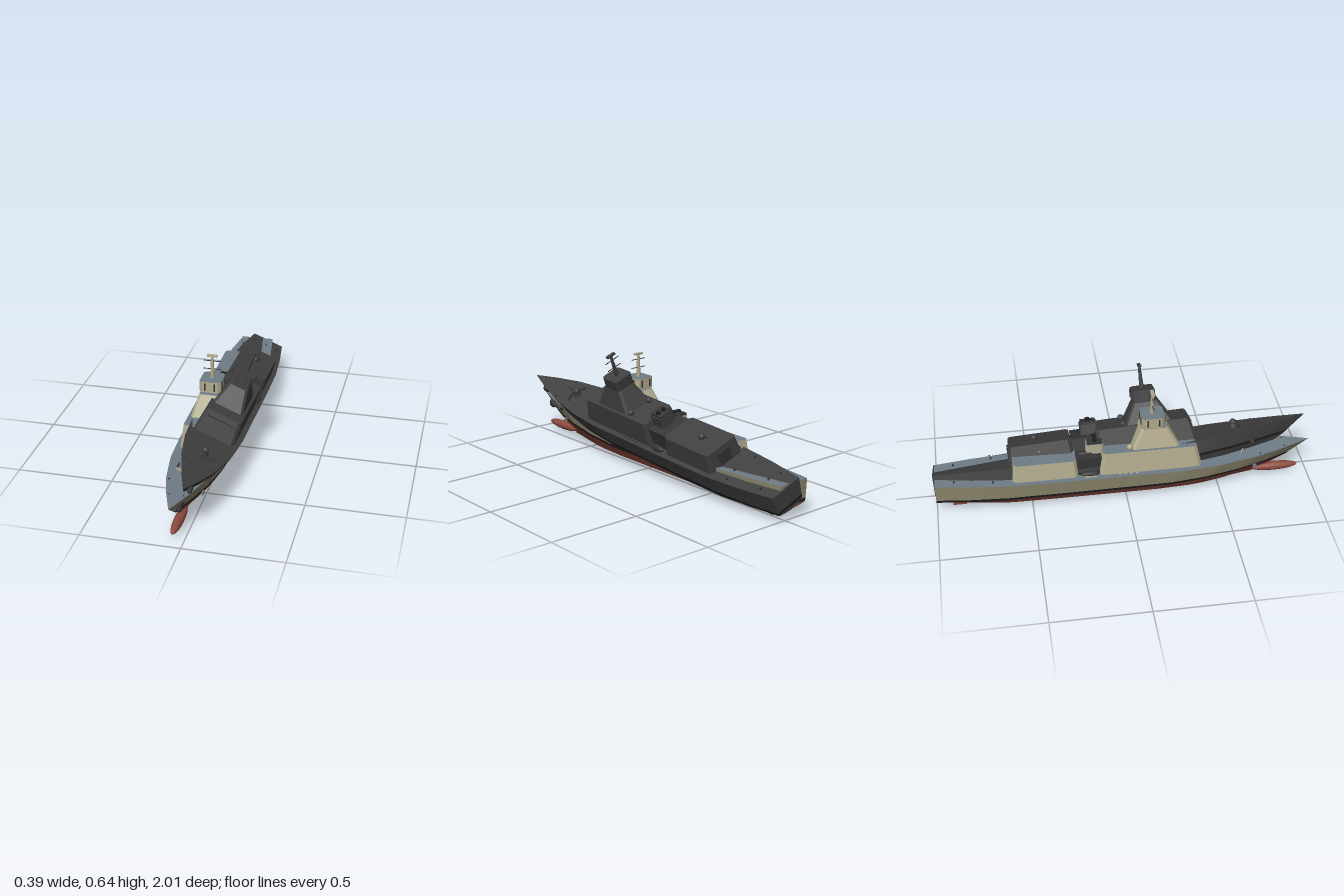
import * as THREE from 'three';

const paint = (name, color) => Object.assign(new THREE.MeshStandardMaterial({ color }), { name });

// Linear interpolation through [position, value] pairs
function sample(pairs, s) {
  for (let i = 1; i < pairs.length; i++) {
    const [a, u] = pairs[i - 1], [b, v] = pairs[i];
    if (s <= b) return u + (v - u) * (s - a) / (b - a);
  }
  return pairs[pairs.length - 1][1];
}

function add(parent, name, geometry, material, x = 0, y = 0, z = 0) {
  const m = new THREE.Mesh(geometry, material);
  m.name = name;
  m.position.set(x, y, z);
  parent.add(m);
  return m;
}
const box = (w, h, d) => new THREE.BoxGeometry(w, h, d);

// Surface between two rows of points
function strip(A, B) {
  const pos = [], idx = [], n = A.length;
  [...A, ...B].forEach(p => pos.push(...p));
  for (let i = 0; i < n - 1; i++) {
    idx.push(i + 1, i, n + i, i + 1, n + i, n + i + 1);
  }
  const g = new THREE.BufferGeometry();
  g.setAttribute('position', new THREE.Float32BufferAttribute(pos, 3));
  g.setIndex(idx);
  g.computeVertexNormals();
  return g;
}

// Tapered house with chamfered corners; group 0 = walls, group 1 = roof
// bottom / top: [half width, back z, front z, y]
function house(bottom, top, c) {
  const ring = ([w, b, f, y]) => [
    [w, y, f - c], [w, y, b + c], [w - c, y, b], [-w + c, y, b],
    [-w, y, b + c], [-w, y, f - c], [-w + c, y, f], [w - c, y, f]];
  const lo = ring(bottom), hi = ring(top), pos = [];
  for (let i = 0; i < 8; i++) {
    const j = (i + 1) % 8;
    pos.push(...lo[i], ...lo[j], ...hi[j], ...lo[i], ...hi[j], ...hi[i]);
  }
  for (let i = 1; i < 7; i++) pos.push(...hi[0], ...hi[i], ...hi[i + 1]);
  const g = new THREE.BufferGeometry();
  g.setAttribute('position', new THREE.Float32BufferAttribute(pos, 3));
  g.addGroup(0, 48, 0);
  g.addGroup(48, 18, 1);
  g.computeVertexNormals();
  return g;
}

// Hull lofted along the length, one band of plating per height level
function buildHull(ship, p) {
  const plan = [[-1, .65], [-.8, .85], [-.6, .97], [-.3, 1], [.3, 1], [.5, .92],
    [.7, .68], [.85, .38], [.95, .13], [1, 0]];
  const keel = [[-1, .045], [-.55, 0], [.8, 0], [1, .012]];
  const chine = [[-1, .055], [-.55, .03], [.6, .03], [1, .055]];
  const water = [[-1, .062], [-.5, .07], [.3, .075], [1, .11]];
  const sheer = [[-1, .175], [-.5, .17], [.3, .17], [.6, .182], [1, .2]];
  // half width, stem z, fullness exponent, height
  const levels = [
    [0, .68, 1, s => sample(keel, s)],
    [.045, .70, 1.2, s => sample(keel, s) + .003],
    [.10, .78, 1.1, s => sample(chine, s)],
    [.126, .88, 1, s => sample(water, s)],
    [.130, .90, 1, s => sample(water, s) + .016],
    [.140, 1, 1, s => sample(sheer, s)]];
  const stations = Array.from({ length: 41 }, (_, i) => -1 + i / 20);
  const row = ([w, end, e, y], side) => stations.map(s => [
    side * w * sample(plan, s) ** e, y(s), -1 + (s + 1) * (end + 1) / 2]);
  const L = levels.map(l => row(l, 1)), R = levels.map(l => row(l, -1));
  const skins = [p.bottom, p.bottom, p.bottom, p.stripe, p.hull];
  const names = ['keelPlating', 'bilgePlating', 'lowerPlating', 'waterlineStripe', 'topsides'];
  skins.forEach((m, j) => {
    add(ship, names[j] + 'Left', strip(L[j], L[j + 1]), m);
    add(ship, names[j] + 'Right', strip(R[j + 1], R[j]), m);
    add(ship, names[j] + 'Transom', strip([R[j][0], L[j][0]], [R[j + 1][0], L[j + 1][0]]), m);
  });
  add(ship, 'deck', strip(L[5], R[5]), p.deck);

  const bulb = add(ship, 'bowBulb', new THREE.SphereGeometry(1, 20, 14), p.bottom, 0, .034, .82);
  bulb.scale.set(.025, .024, .13);
  for (const s of [-1, 1]) {
    add(ship, 'rudder', box(.008, .055, .07), p.bottom, s * .045, .035, -.88);
    add(ship, 'hullVent', box(.008, .018, .02), p.fitting, s * .085, .116, .69);
  }
  const anchor = add(ship, 'anchor', new THREE.SphereGeometry(1, 12, 8), p.dark, .024, .148, .895);
  anchor.scale.set(.012, .018, .03);
}

function buildShip(name, p) {
  const ship = new THREE.Group();
  ship.name = name;
  buildHull(ship, p);
  const walls = [p.house, p.deck];

  // Superstructure
  add(ship, 'bridgeBlock', house([.112, -.145, .40, .165], [.097, -.125, .37, .295], .015), walls);
  add(ship, 'tower', house([.083, .03, .28, .295], [.052, .085, .22, .40], .012), walls);
  add(ship, 'sensorNeck', box(.03, .012, .04), p.house, 0, .403, .145);
  add(ship, 'sensorHouse', house([.056, .085, .205, .406], [.056, .085, .205, .465], .014), walls);
  add(ship, 'hangar', house([.112, -.60, -.255, .165], [.10, -.59, -.265, .27], .014), walls);
  add(ship, 'hangarDoor', box(.075, .07, .006), p.dark, 0, .212, -.597);
  add(ship, 'midBlock', box(.17, .10, .13), p.dark, 0, .215, -.195);
  add(ship, 'funnel', house([.048, -.215, -.105, .17], [.043, -.205, -.115, .32], .008), walls);
  add(ship, 'bridgeWindowBar', box(.148, .004, .006), p.dark, 0, .266, .378);

  // Funnel exhausts
  add(ship, 'funnelCap', box(.074, .012, .08), p.dark, 0, .325, -.16);
  for (const s of [-1, 1]) {
    add(ship, 'exhaust', new THREE.CylinderGeometry(.012, .012, .012, 12), p.stripe, s * .018, .335, -.16);
  }

  // Sensor panels around the mast house
  for (const s of [-1, 1]) {
    for (const z of [.09, .20]) {
      add(ship, 'sensorPanel', box(.006, .04, .008), p.dark, s * .025, .437, z < .14 ? .084 : .206);
      add(ship, 'sensorPanel', box(.006, .04, .008), p.dark, s * .056, .437, z < .14 ? .115 : .175);
    }
  }

  // Mast with yards
  add(ship, 'mast', new THREE.CylinderGeometry(.007, .012, .12, 8), p.house, 0, .525, .145);
  add(ship, 'mastHead', box(.052, .01, .018), p.house, 0, .587, .145);
  for (const y of [.513, .558]) add(ship, 'yard', box(.09, .003, .004), p.dark, 0, y, .145);

  // Foredeck gun and V-shaped breakwater
  add(ship, 'gunBase', new THREE.CylinderGeometry(.018, .022, .022, 12), p.house, 0, .193, .61);
  add(ship, 'gunHouse', new THREE.SphereGeometry(.018, 14, 10), p.house, 0, .21, .61);
  add(ship, 'gunBarrel', new THREE.CylinderGeometry(.003, .004, .06, 8), p.dark, 0, .212, .645).rotation.x = Math.PI / 2;
  for (const s of [-1, 1]) {
    add(ship, 'breakwater', box(.072, .014, .005), p.house, s * .034, .189, .632).rotation.y = s * .45;
  }

  // Small gun on the hangar roof
  add(ship, 'roofGun', new THREE.SphereGeometry(.018, 14, 10), p.house, 0, .278, -.45);
  add(ship, 'roofGunBarrel', new THREE.CylinderGeometry(.003, .003, .04, 8), p.dark, 0, .285, -.475).rotation.x = Math.PI / 2;

  // Domes, boats, life rafts and bollards on both sides
  for (const s of [-1, 1]) {
    add(ship, 'radarDome', new THREE.SphereGeometry(.016, 14, 10), p.house, s * .064, .303, .02);
    const boat = add(ship, 'boat', new THREE.SphereGeometry(1, 14, 8), p.dark, s * .108, .186, -.195);
    boat.scale.set(.016, .013, .052);
    add(ship, 'boatCradle', box(.03, .01, .06), p.house, s * .108, .175, -.195);
    for (let i = 0; i < 4; i++) {
      add(ship, 'lifeRaft', new THREE.SphereGeometry(.007, 10, 8), p.house, s * .124, .177, -.04 + i * .03);
    }
    for (const [x, z] of [[.07, -.9], [.10, -.7], [.075, .72], [.035, .86]]) {
      add(ship, 'bollard', new THREE.CylinderGeometry(.004, .004, .012, 8), p.dark, s * x, .18 + Math.max(0, z) * .012, z);
    }
  }
  return ship;
}

export function createModel() {
  const sand = paint('sand superstructure', 0xb3ac8e);
  const khaki = paint('khaki hull', 0x8c876e);
  const slate = paint('slate deck', 0x6f7d88);
  const red = paint('red antifouling', 0x8a4a3e);
  const black = paint('black stripe', 0x1e1e1e);
  const charcoal = paint('charcoal fittings', 0x363636);
  const soot = paint('dark grey ship', 0x404040);

  const model = new THREE.Group();
  model.name = 'twoShips';

  // Upright painted ship
  const painted = buildShip('paintedShip', {
    hull: khaki, house: sand, deck: slate, bottom: red, stripe: black, dark: charcoal, fitting: slate });
  painted.position.x = -.055;

  // Heeled dark ship, bow raised
  const heeled = buildShip('darkShip', {
    hull: soot, house: soot, deck: soot, bottom: soot, stripe: black, dark: charcoal, fitting: charcoal });
  heeled.position.set(-.058, .065, 0);
  heeled.rotation.set(-.065, 0, -.384);

  model.add(painted, heeled);
  return model;
}
